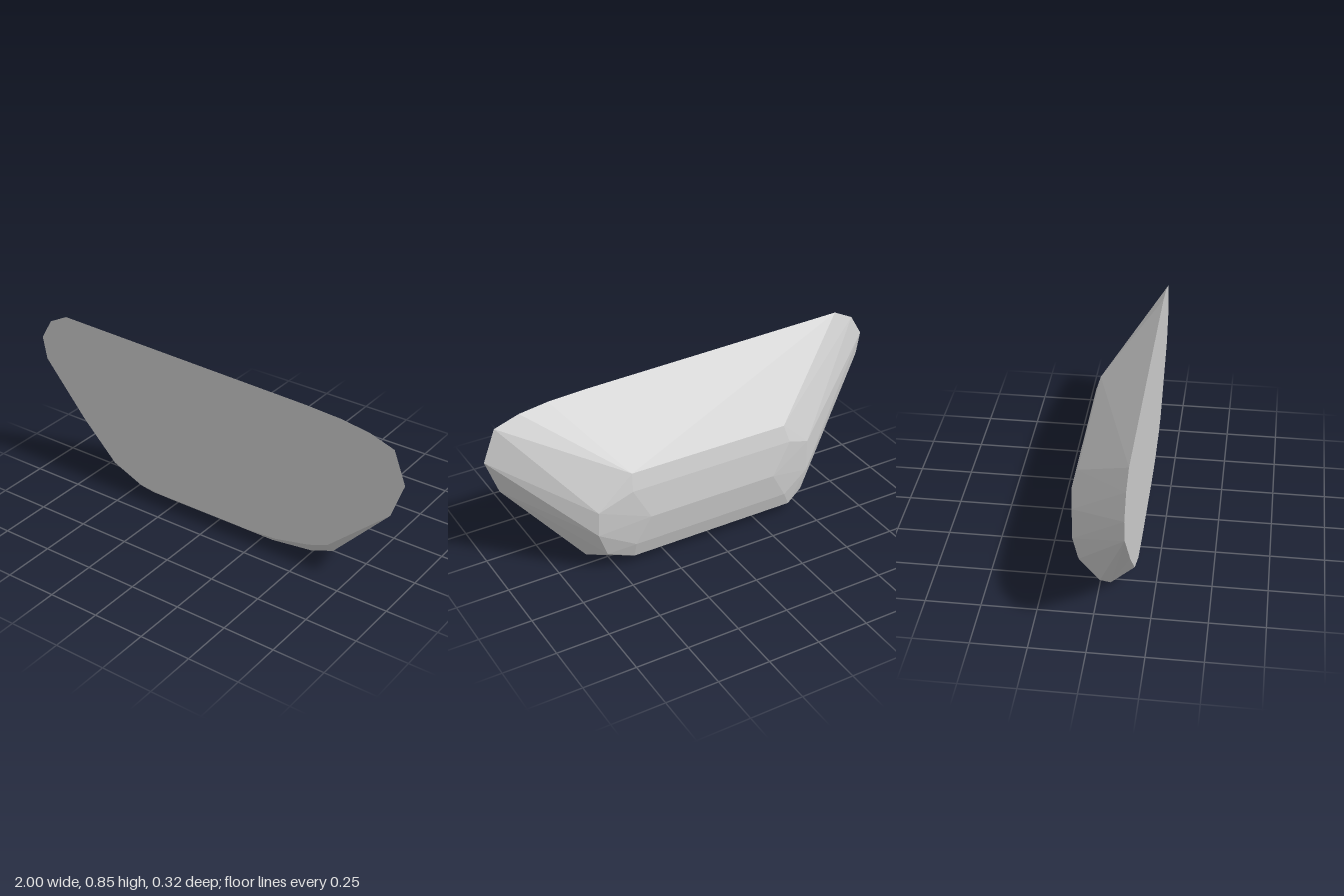
import * as THREE from 'three';
import { ConvexGeometry } from 'three/addons/geometries/ConvexGeometry.js';

export function createModel() {
  const group = new THREE.Group();
  group.name = 'facetedBlock';
  const stone = new THREE.MeshStandardMaterial({ color: 0xcccccc });
  stone.name = 'pale grey';

  const points = [];
  const add = (x, y, z) => points.push(new THREE.Vector3(x, y, z));

  // flat front face outline
  const rim = [
    [-1, 0.7], [-0.94, 0.8], [-0.84, 0.85], [0.5, 0.815], [0.68, 0.805], [0.82, 0.785],
    [0.94, 0.745], [1, 0.59], [0.94, 0.42], [0.64, 0.15], [0.54, 0.11], [0.36, 0.07],
    [0.2, 0.06], [-0.28, 0.06], [-0.42, 0.07], [-0.58, 0.14], [-0.76, 0.325], [-0.98, 0.59],
  ];
  for (const [x, y] of rim) add(x, y, 0.16);

  // lengthwise ridges around the back and underside: y, z, left and right ends
  const ridges = [
    [0.5, -0.117, -0.38, 0.42],
    [0.42, -0.141, -0.4, 0.43],
    [0.27, -0.16, -0.3, 0.35],
    [0.13, -0.141, -0.38, 0.42],
    [0.05, -0.117, -0.42, 0.42],
    [0, -0.04, -0.43, 0.32],
    [0, 0.09, -0.4, 0.3],
  ];
  for (const [y, z, x0, x1] of ridges) {
    add(x0, y, z);
    add(x1, y, z);
  }

  // blunt corners at both ends
  const corners = [
    [-0.51, 0.38, -0.126], [-0.51, 0.22, -0.126], [-0.5, 0.1, -0.1],
    [-0.55, 0.02, 0.05], [-0.54, 0.02, 0.0],
    [0.595, 0.35, -0.125], [0.6, 0.23, -0.125], [0.55, 0.1, -0.105],
    [0.6, 0.035, 0.045], [0.6, 0.035, 0.02], [0.5, 0.015, 0.075],
  ];
  for (const c of corners) add(...c);

  const body = new THREE.Mesh(new ConvexGeometry(points), stone);
  body.name = 'body';
  group.add(body);
  return group;
}
